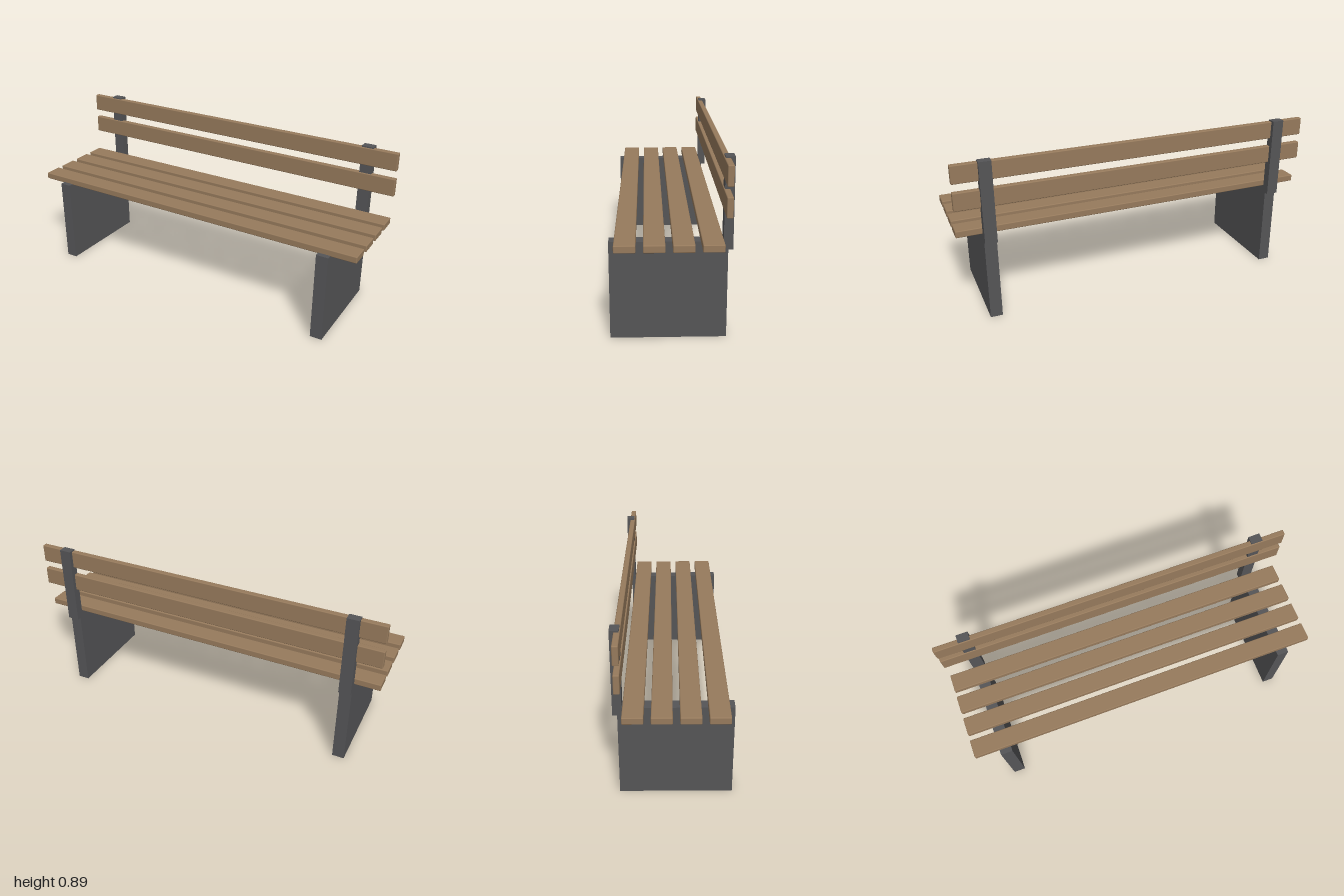
import * as THREE from 'three';
import { RoundedBoxGeometry } from 'three/addons/geometries/RoundedBoxGeometry.js';

export function createModel() {
  const bench = new THREE.Group();
  bench.name = 'bench';

  const wood = new THREE.MeshStandardMaterial({ color: 0x967a5c });
  wood.name = 'wood';
  const metal = new THREE.MeshStandardMaterial({ color: 0x555557 });
  metal.name = 'dark metal';

  const add = (name, geometry, material, x, y, z) => {
    const mesh = new THREE.Mesh(geometry, material);
    mesh.name = name;
    mesh.position.set(x, y, z);
    bench.add(mesh);
  };

  // Slab legs and the posts that carry the backrest
  const legGeometry = new THREE.BoxGeometry(0.065, 0.488, 0.557);
  const postGeometry = new THREE.BoxGeometry(0.065, 0.443, 0.045);
  for (const [side, sign] of [['left', 1], ['right', -1]]) {
    add(`${side}Leg`, legGeometry, metal, sign * 0.832, 0.244, 0.0115);
    add(`${side}BackPost`, postGeometry, metal, sign * 0.832, 0.6685, -0.2675);
  }

  // Four seat slats with eased edges, front to back
  const seatSlat = new RoundedBoxGeometry(2, 0.037, 0.1, 2, 0.005);
  for (let i = 0; i < 4; i++) {
    add(`seatSlat${i + 1}`, seatSlat, wood, 0, 0.501, 0.212 - i * 0.1337);
  }

  // Two backrest slats
  const backSlat = new RoundedBoxGeometry(2, 0.098, 0.03, 2, 0.005);
  add('lowerBackSlat', backSlat, wood, 0, 0.69, -0.255);
  add('upperBackSlat', backSlat, wood, 0, 0.834, -0.255);

  return bench;
}
